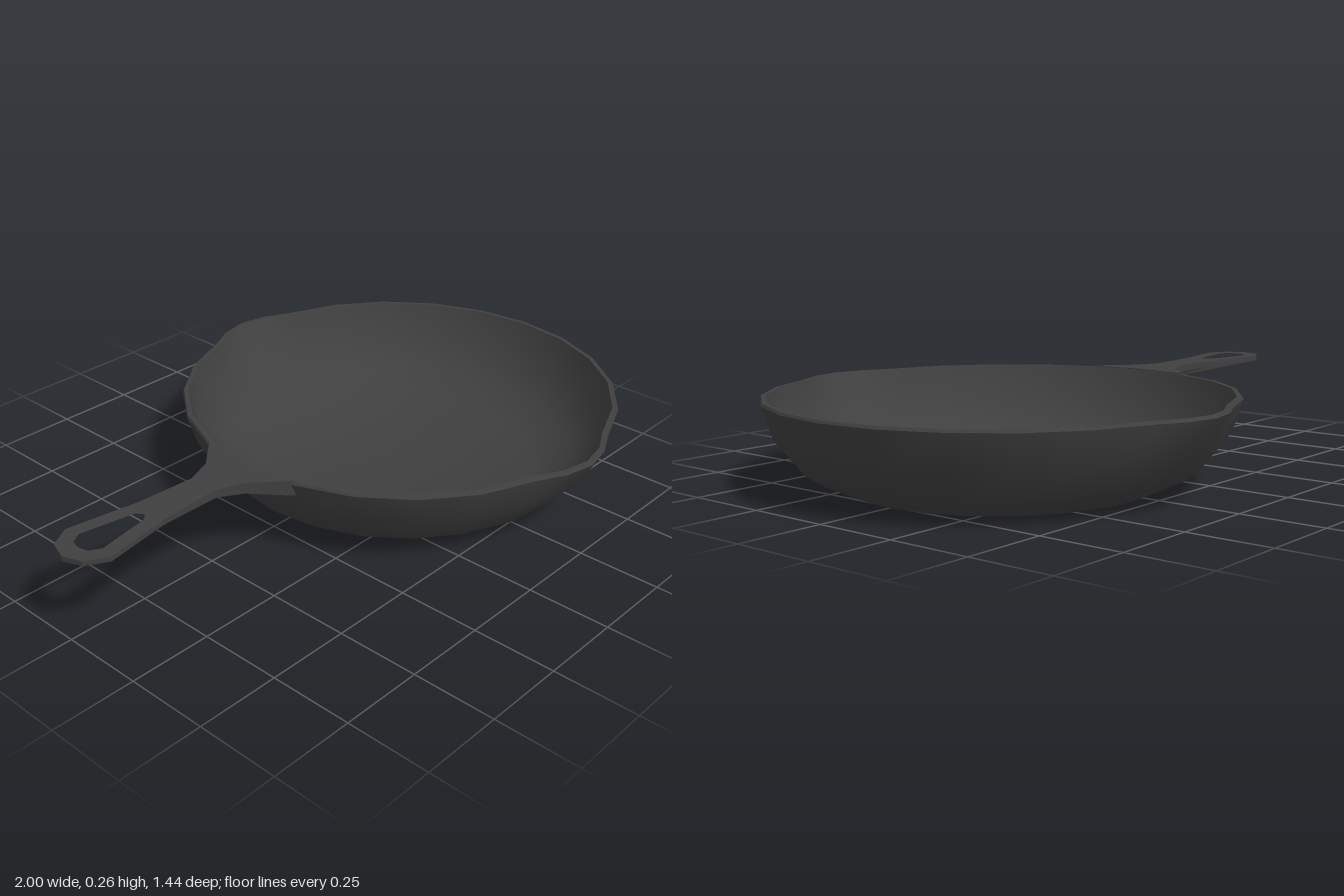
import * as THREE from 'three';
import { toCreasedNormals } from 'three/addons/utils/BufferGeometryUtils.js';

const CENTRE_X = 0.315;
const iron = new THREE.MeshStandardMaterial({ color: 0x404040 });

// Pan section: [radius, height, share of the pouring lip], outside then inside
const PROFILE = [
  [0, 0, 0], [0.45, 0, 0], [0.567, 0.055, 0], [0.65, 0.16, 0.3],
  [0.68, 0.253, 1], [0.676, 0.26, 1], [0.662, 0.26, 1],
  [0.633, 0.165, 0.3], [0.55, 0.067, 0], [0.44, 0.018, 0], [0, 0.015, 0],
];

// 24 sides, with extra columns where the two pouring lips bulge out
function panColumns() {
  const columns = [];
  for (let deg = 0; deg < 360; deg += 7.5) {
    const off = Math.abs((deg % 180) - 90);
    if (deg % 15 !== 0 && off > 8) continue;
    const lip = off < 1 ? 0.039 : off < 8 ? 0.026 : 0;
    columns.push({ angle: THREE.MathUtils.degToRad(deg), lip });
  }
  return columns;
}

function panGeometry() {
  const columns = panColumns();
  const n = PROFILE.length;
  const positions = [];
  const indices = [];
  columns.forEach(({ angle, lip }, i) => {
    for (const [r, y, share] of PROFILE) {
      const radius = r + lip * share;
      positions.push(CENTRE_X + radius * Math.cos(angle), y, radius * Math.sin(angle));
    }
    const next = (i + 1) % columns.length;
    for (let j = 0; j < n - 1; j++) {
      const a = i * n + j, b = a + 1, c = next * n + j, d = c + 1;
      if (PROFILE[j][0] > 0) indices.push(a, b, c);
      if (PROFILE[j + 1][0] > 0) indices.push(b, d, c);
    }
  });
  const geometry = new THREE.BufferGeometry();
  geometry.setAttribute('position', new THREE.Float32BufferAttribute(positions, 3));
  geometry.setIndex(indices);
  return toCreasedNormals(geometry, 0.75);
}

// Closed outline from one half, mirrored across the handle's long axis
function mirrored(half) {
  const other = half.filter(([, z]) => z > 0).reverse().map(([x, z]) => [x, -z]);
  return [...half, ...other].map(([x, z]) => new THREE.Vector2(x, z));
}

function handleGeometry() {
  const shape = new THREE.Shape(mirrored([
    [-1, 0], [-0.98, 0.058], [-0.917, 0.094], [-0.7, 0.058],
    [-0.52, 0.047], [-0.437, 0.078], [-0.333, 0.174], [-0.353, 0],
  ]));
  shape.holes.push(new THREE.Path(mirrored([
    [-0.947, 0], [-0.94, 0.03], [-0.907, 0.049], [-0.745, 0.02], [-0.728, 0],
  ])));
  const geometry = new THREE.ExtrudeGeometry(shape, { depth: 0.015, bevelEnabled: false });
  geometry.rotateX(Math.PI / 2);
  geometry.translate(0, 0.263, 0);

  // Underside deepens towards the pan
  const p = geometry.attributes.position;
  for (let i = 0; i < p.count; i++) {
    if (p.getY(i) > 0.255) continue;
    const t = THREE.MathUtils.clamp((p.getX(i) + 0.7) / 0.345, 0, 1);
    p.setY(i, 0.248 - 0.033 * t * t);
  }
  return toCreasedNormals(geometry, 0.6);
}

export function createModel() {
  const group = new THREE.Group();
  group.name = 'skillet';

  const pan = new THREE.Mesh(panGeometry(), iron);
  pan.name = 'pan';

  const handle = new THREE.Mesh(handleGeometry(), iron);
  handle.name = 'handle';

  group.add(pan, handle);
  return group;
}
